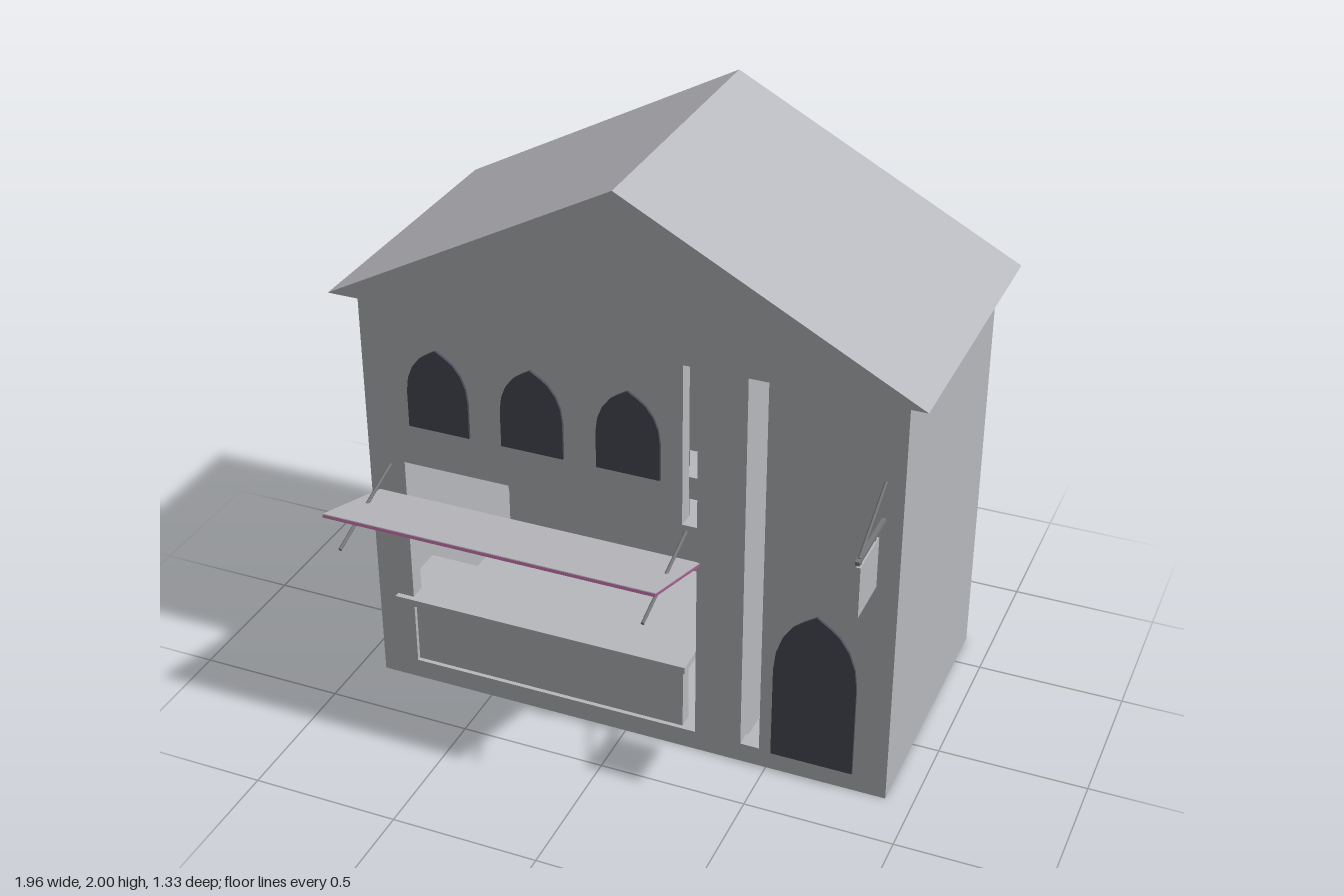
import * as THREE from 'three';

const mat = (name, color) => {
  const m = new THREE.MeshStandardMaterial({ color });
  m.name = name;
  return m;
};

export function createModel() {
  const plaster = mat('plaster', 0xb8b9be);
  const glass = mat('dark opening', 0x4a4a58);
  const plum = mat('plum', 0xa85f92);
  const white = mat('white', 0xe8e8e4);
  const iron = mat('iron', 0x77787a);

  const model = new THREE.Group();
  model.name = 'shopHouse';

  const add = (name, geo, material) => {
    const mesh = new THREE.Mesh(geo, material);
    mesh.name = name;
    model.add(mesh);
    return mesh;
  };
  // Box given by its two opposite corners
  const box = (name, material, x0, x1, y0, y1, z0, z1) => {
    const b = add(name, new THREE.BoxGeometry(x1 - x0, y1 - y0, z1 - z0), material);
    b.position.set((x0 + x1) / 2, (y0 + y1) / 2, (z0 + z1) / 2);
    return b;
  };
  const shapeOf = (pts) => new THREE.Shape(pts.map(([x, y]) => new THREE.Vector2(x, y)));
  const extrude = (name, shape, depth, z, material) => {
    const m = add(name, new THREE.ExtrudeGeometry(shape, { depth, bevelEnabled: false }), material);
    m.position.z = z;
    return m;
  };
  // Round rod between two points in the plane of constant x
  const rod = (name, x, [y0, z0], [y1, z1], radius, material) => {
    const len = Math.hypot(y1 - y0, z1 - z0);
    const m = add(name, new THREE.CylinderGeometry(radius, radius, len, 8), material);
    m.position.set(x, (y0 + y1) / 2, (z0 + z1) / 2);
    m.rotation.x = Math.atan2(z1 - z0, y1 - y0);
  };

  // Front wall with the shop opening and a tall slot
  const front = shapeOf([[-0.91, 0], [0.91, 0], [0.91, 1.48], [-0.91, 1.48]]);
  front.holes.push(
    shapeOf([[-0.78, 0.07], [0.25, 0.07], [0.25, 1.44], [0.2, 1.44], [0.2, 0.87], [-0.78, 0.87]]),
    shapeOf([[0.41, 0.07], [0.475, 0.07], [0.475, 1.44], [0.41, 1.44]])
  );
  extrude('frontWall', front, 0.055, 0.245, plaster);

  // Remaining walls, floor and inner partition
  box('rightWall', plaster, -0.91, -0.865, 0, 1.48, -0.6, 0.245);
  box('leftWall', plaster, 0.865, 0.91, 0, 1.48, -0.6, 0.245);
  box('backWall', plaster, -0.91, 0.91, 0, 1.455, -0.645, -0.6);
  box('floor', plaster, -0.865, 0.865, 0, 0.05, -0.6, 0.245);
  box('partition', plaster, 0.25, 0.41, 0.05, 1.48, -0.6, 0.245);

  // Solid gabled roof
  extrude('roof', shapeOf([[-0.98, 1.48], [0.98, 1.48], [0, 2]]), 1.025, -0.665, plaster);

  // Pointed arch plates for windows and door
  const arch = (name, cx, y0, ySpring, yTop, half) => {
    const rise = yTop - ySpring;
    const side = [[1, 0], [0.94, 0.3], [0.79, 0.55], [0.55, 0.76], [0.3, 0.88]];
    const pts = [[cx - half, y0], [cx + half, y0]];
    side.forEach(([u, v]) => pts.push([cx + u * half, ySpring + v * rise]));
    pts.push([cx, yTop]);
    side.reverse().forEach(([u, v]) => pts.push([cx - u * half, ySpring + v * rise]));
    extrude(name, shapeOf(pts), 0.009, 0.3, glass);
  };
  [-0.64, -0.31, 0.02].forEach((x) => arch('window', x, 1.02, 1.15, 1.315, 0.108));
  arch('door', 0.657, 0.07, 0.41, 0.645, 0.139);

  // Counter and the panel below it
  box('counter', plaster, -0.84, 0.22, 0.31, 0.335, 0.05, 0.32);
  box('counterPanel', plaster, -0.78, 0.2, 0.07, 0.31, 0.235, 0.285);

  // Shelves with rows of jars
  const rows = [
    { y: 0.36, heights: [0.08, 0.095, 0.08, 0.095, 0.08], whites: [2] },
    { y: 0.565, heights: [0.075, 0.095, 0.075, 0.095, 0.075], whites: [1, 4] }
  ];
  rows.forEach(({ y, heights, whites }) => {
    box('shelf', plaster, -0.78, 0.18, y - 0.015, y, -0.6, -0.43);
    heights.forEach((h, i) => {
      const jar = add('jar', new THREE.CylinderGeometry(0.024, 0.024, h, 8),
        whites.includes(i) ? white : plum);
      jar.position.set(-0.68 + i * 0.187, y + h / 2, -0.5);
    });
  });

  // Awning board rising outward: plum slab with a pale top sheet
  const awning = new THREE.Group();
  awning.name = 'awning';
  const slope = Math.atan2(0.115, 0.36);
  const slab = new THREE.Mesh(new THREE.BoxGeometry(1.14, 0.01, 0.378), plum);
  slab.name = 'awningBoard';
  const sheet = new THREE.Mesh(new THREE.BoxGeometry(1.14, 0.003, 0.378), plaster);
  sheet.name = 'awningTop';
  sheet.position.y = 0.0065;
  awning.add(slab, sheet);
  awning.position.set(-0.31, 0.792, 0.48);
  awning.rotation.x = -slope;
  model.add(awning);

  // Awning struts
  [-0.833, 0.214].forEach((x) => rod('awningStrut', x, [0.85, 0.3], [0.728, 0.65], 0.006, iron));

  // Hanging sign on a bracket
  box('signArm', iron, 0.843, 0.857, 1.045, 1.058, 0.3, 0.555);
  rod('signBrace', 0.85, [1.185, 0.3], [1.058, 0.535], 0.005, iron);
  box('signBoard', plaster, 0.843, 0.857, 0.853, 1.03, 0.365, 0.542);
  [0.385, 0.522].forEach((z) => box('signHook', iron, 0.847, 0.853, 1.03, 1.045, z - 0.004, z + 0.004));

  return model;
}
